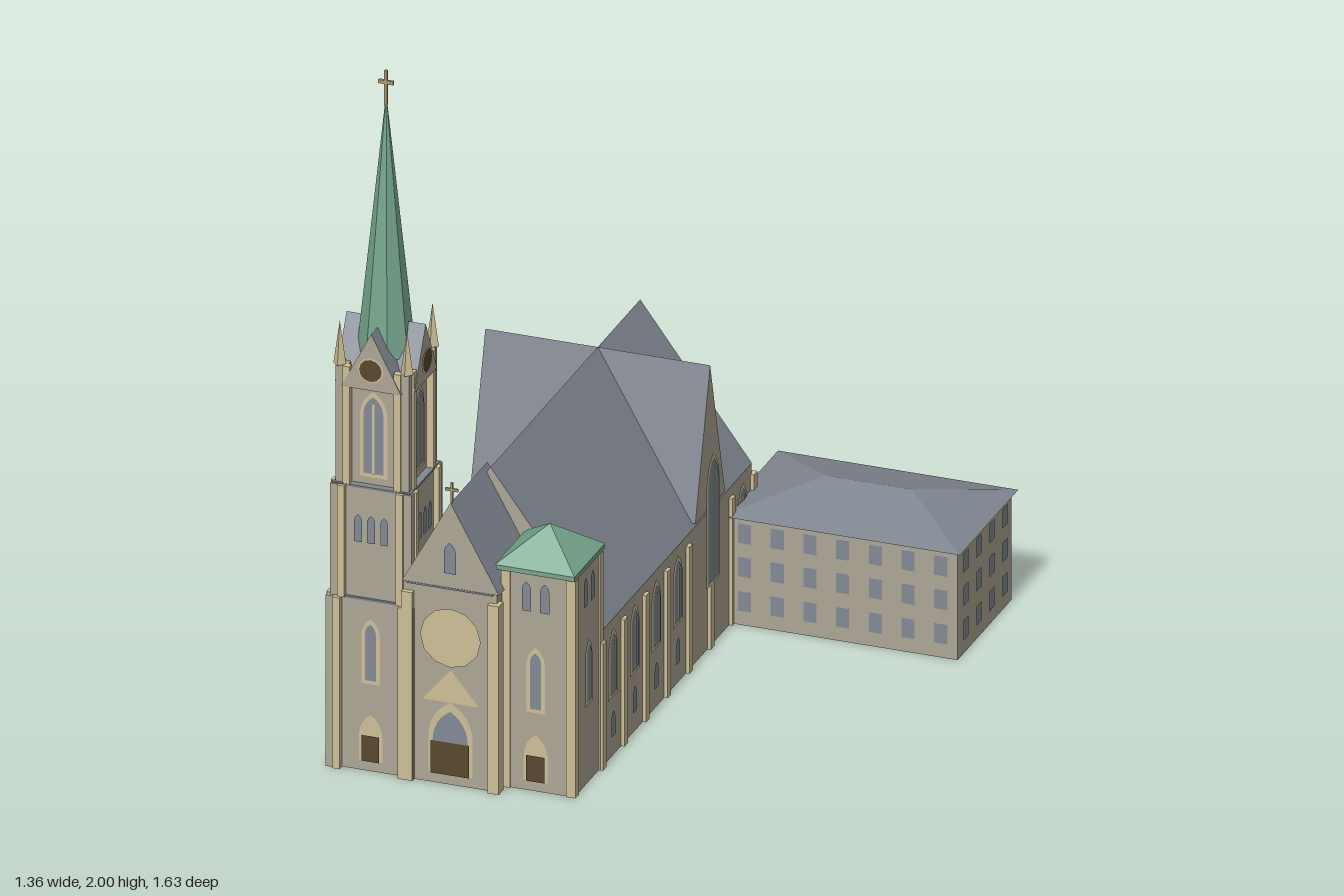
import * as THREE from 'three';

const mat = (name, color, side = THREE.FrontSide) => {
  const m = new THREE.MeshStandardMaterial({ color, side, flatShading: true });
  m.name = name;
  return m;
};

export function createModel() {
  const stone = mat('stone', 0xaea796, THREE.DoubleSide);
  const trim = mat('cream trim', 0xcfc098);
  const slate = mat('slate', 0x808690, THREE.DoubleSide);
  const copper = mat('green copper', 0x76a68c);
  const glass = mat('window glass', 0x828a96);
  const wood = mat('dark wood', 0x58482f);
  const metal = mat('cross metal', 0xa59870);

  const root = new THREE.Group();
  root.name = 'church';
  const group = (name, parent = root) => {
    const g = new THREE.Group();
    g.name = name;
    parent.add(g);
    return g;
  };
  const add = (parent, name, geo, material, x = 0, y = 0, z = 0, ry = 0) => {
    const m = new THREE.Mesh(geo, material);
    m.name = name;
    m.position.set(x, y, z);
    m.rotation.y = ry;
    parent.add(m);
    return m;
  };
  // Box given by its extents
  const block = (parent, name, material, x0, x1, y0, y1, z0, z1) =>
    add(parent, name, new THREE.BoxGeometry(x1 - x0, y1 - y0, z1 - z0), material,
      (x0 + x1) / 2, (y0 + y1) / 2, (z0 + z1) / 2);
  // Four stone walls without floor or ceiling
  const walls = (parent, name, ...extents) => {
    const m = block(parent, name, stone, ...extents);
    const idx = Array.from(m.geometry.index.array);
    idx.splice(12, 12);
    m.geometry.setIndex(idx);
    m.geometry.clearGroups();
  };

  // Flat shapes used on walls
  const polygon = (pts) => new THREE.Shape(pts.map(([x, y]) => new THREE.Vector2(x, y)));
  const rect = (w, h) => polygon([[-w / 2, 0], [w / 2, 0], [w / 2, h], [-w / 2, h]]);
  const lancet = (w, h) => {
    const s = new THREE.Shape(), a = Math.min(w, h * 0.5), r = w / 2;
    s.moveTo(-r, 0);
    s.lineTo(r, 0);
    s.lineTo(r, h - a);
    s.quadraticCurveTo(r, h - a * 0.33, 0, h);
    s.quadraticCurveTo(-r, h - a * 0.33, -r, h - a);
    return s;
  };
  const plate = (parent, name, shape, material, out, x = 0, y = 0) =>
    add(parent, name, new THREE.ShapeGeometry(shape, 6), material, x, y, out);

  // Local wall frame: z points out of the wall
  const onWall = (parent, name, x, y, z, ry) => {
    const g = group(name, parent);
    g.position.set(x, y, z);
    g.rotation.y = ry;
    return g;
  };
  const framedWindow = (parent, x, y, z, ry, w, h, lights = 2) => {
    const g = onWall(parent, 'framedWindow', x, y, z, ry);
    plate(g, 'windowFrame', lancet(w, h), trim, 0.003);
    plate(g, 'windowPane', lancet(w - 0.021, h - 0.026), glass, 0.005, 0, 0.011);
    if (lights > 1) plate(g, 'mullion', rect(0.007, h - 0.045), trim, 0.007, 0, 0.011);
  };
  const plainWindows = (parent, x, y, z, ry, w, h, offsets) => {
    const g = onWall(parent, 'smallWindows', x, y, z, ry);
    for (const o of offsets) plate(g, 'lancetPane', lancet(w, h), glass, 0.004, o);
  };
  const doorway = (parent, x, z, w, h, doorH) => {
    const g = onWall(parent, 'doorway', x, 0.03, z, 0);
    plate(g, 'doorFrame', lancet(w, h), trim, 0.003);
    plate(g, 'door', rect(w - 0.016, doorH), wood, 0.007);
    return g;
  };
  // Gabled roof: stone ends, slate slopes; ridge runs along z, or x when turned
  const gableRoof = (parent, name, w, h, len, x, y, z, ry = 0) => {
    const geo = new THREE.ExtrudeGeometry(polygon([[-w / 2, 0], [w / 2, 0], [0, h]]), { depth: len, bevelEnabled: false });
    geo.translate(0, 0, -len / 2);
    return add(parent, name, geo, [stone, slate], x, y, z, ry);
  };
  const hipRoof = (parent, name, material, w, h, d, ridge, x, y, z) => {
    const geo = new THREE.BoxGeometry(w, h, d);
    const p = geo.attributes.position;
    for (let i = 0; i < p.count; i++) {
      if (p.getY(i) > 0) p.setXYZ(i, Math.sign(p.getX(i)) * ridge / 2, h / 2, 0);
    }
    return add(parent, name, geo, material, x, y + h / 2, z);
  };
  const cross = (parent, x, y, z, h, w, t) => {
    const g = onWall(parent, 'cross', x, y, z, 0);
    add(g, 'crossPost', new THREE.BoxGeometry(t, h, t), metal, 0, h / 2, 0);
    add(g, 'crossBar', new THREE.BoxGeometry(w, t * 1.3, t), metal, 0, h * 0.66, 0);
  };

  // Nave with crossing roof
  const nave = group('nave');
  const L = -0.61, R = 0.02, mid = -0.295;
  walls(nave, 'naveWalls', L, R, 0, 0.4, -0.555, 0.555);
  gableRoof(nave, 'naveRoof', 0.632, 0.425, 1.11, mid, 0.4, 0);
  gableRoof(nave, 'transeptRoof', 0.22, 0.415, 0.636, mid, 0.41, -0.24, Math.PI / 2);
  for (const s of [1, -1]) {
    const x = s > 0 ? R : L, ry = s * Math.PI / 2;
    for (let i = 0; i < 8; i++) {
      add(nave, 'naveButtress', new THREE.BoxGeometry(0.02, 0.37, 0.026), trim, x, 0.185, 0.56 - i * 0.16);
    }
    for (const z of [0.48, 0.32, 0.16, 0, -0.48]) {
      framedWindow(nave, x, 0.175, z, ry, 0.072, 0.2);
      plainWindows(nave, x, 0.06, z, ry, 0.028, 0.075, [0]);
    }
    framedWindow(nave, x + s * 0.008, 0.19, -0.24, ry, 0.095, 0.38);
  }

  // Five-sided apse
  const apse = group('apse');
  apse.position.set(-0.303, 0, -0.555);
  add(apse, 'apseWall', new THREE.CylinderGeometry(0.17, 0.17, 0.41, 5, 1, true, Math.PI / 2, Math.PI), stone, 0, 0.205, 0);
  const cone = new THREE.ConeGeometry(0.172, 0.28, 5, 1, true, Math.PI / 2, Math.PI);
  const cp = cone.attributes.position;
  for (let i = 0; i < cp.count; i++) if (cp.getY(i) > 0.1) cp.setZ(i, -0.02);
  add(apse, 'apseRoof', cone, slate, 0, 0.55, 0);
  for (let i = 0; i < 5; i++) {
    const a = Math.PI / 2 + (i + 0.5) * Math.PI / 5;
    framedWindow(apse, 0.1617 * Math.sin(a), 0.14, 0.1617 * Math.cos(a), a, 0.06, 0.23);
  }

  // Side annex
  const annex = group('sideAnnex');
  walls(annex, 'annexWalls', -0.675, -0.6, 0, 0.18, -0.425, -0.115);
  gableRoof(annex, 'annexRoof', 0.092, 0.06, 0.32, -0.634, 0.18, -0.27);

  // Central front with portal
  const front = group('centralFront');
  const fx = -0.315, fz = 0.797;
  walls(front, 'frontWalls', -0.455, -0.185, 0, 0.58, 0.54, fz);
  gableRoof(front, 'frontGable', 0.275, 0.248, 0.275, fx, 0.577, 0.663);
  block(front, 'frontCornice', slate, -0.44, -0.195, 0.572, 0.577, fz, fz + 0.005);
  for (const x of [-0.435, -0.19]) block(front, 'frontButtress', trim, x - 0.016, x + 0.016, 0, 0.55, fz - 0.02, 0.812);
  plate(onWall(front, 'roseWindow', fx, 0.43, fz, 0), 'roseDisc', new THREE.Shape().absarc(0, 0, 0.086, 0, Math.PI * 2), trim, 0.004);
  plate(onWall(front, 'portalGable', fx, 0.24, fz, 0), 'portalTriangle', polygon([[-0.08, 0], [0.08, 0], [0, 0.095]]), trim, 0.002);
  const portal = doorway(front, fx, fz, 0.125, 0.21, 0.095);
  plate(portal, 'portalGlass', lancet(0.1, 0.185), glass, 0.005);
  plainWindows(front, fx, 0.62, 0.801, 0, 0.034, 0.09, [0]);
  cross(front, fx, 0.82, 0.79, 0.06, 0.036, 0.006);

  // Short tower with copper cap
  const low = group('shortTower');
  const lz = 0.655;
  walls(low, 'shortTowerWalls', -0.19, 0.018, 0, 0.635, 0.555, 0.755);
  block(low, 'copperEave', copper, -0.2, 0.023, 0.635, 0.65, 0.543, 0.765);
  hipRoof(low, 'copperCap', copper, 0.226, 0.09, 0.226, 0, -0.089, 0.65, lz);
  for (const x of [-0.175, 0.01]) {
    for (const z of [0.563, 0.747]) block(low, 'cornerStrip', trim, x - 0.013, x + 0.013, 0, 0.632, z - 0.013, z + 0.013);
  }
  doorway(low, -0.09, 0.755, 0.068, 0.135, 0.075);
  for (const [x, z, ry] of [[-0.09, 0.755, 0], [0.018, lz, Math.PI / 2]]) {
    framedWindow(low, x, 0.23, z, ry, 0.052, 0.19, 1);
    plainWindows(low, x, 0.525, z, ry, 0.026, 0.085, [-0.026, 0.026]);
  }

  // Tall tower and spire, built around its own axis
  const tall = group('tallTower');
  tall.position.set(-0.542, 0, 0.682);
  walls(tall, 'lowerStage', -0.112, 0.112, 0, 0.5, -0.112, 0.112);
  walls(tall, 'middleStage', -0.106, 0.106, 0.5, 0.825, -0.108, 0.108);
  walls(tall, 'belfryStage', -0.09, 0.09, 0.825, 1.115, -0.09, 0.09);
  for (const [y, r] of [[0.497, 0.115], [0.822, 0.111], [1.108, 0.093]]) block(tall, 'stringCourse', slate, -r, r, y, y + 0.006, -r, r);
  for (const sx of [1, -1]) for (const sz of [1, -1]) {
    // Stepped corner buttresses, two per corner
    for (const [y0, y1, r] of [[0, 0.5, 0.12], [0.5, 0.825, 0.111], [0.825, 1.17, 0.1]]) {
      for (const [a, b] of [[r, r - 0.028], [r - 0.028, r]]) {
        add(tall, 'cornerButtress', new THREE.BoxGeometry(0.02, y1 - y0, 0.02), trim, sx * a, (y0 + y1) / 2, sz * b);
      }
      add(tall, 'cornerPier', new THREE.BoxGeometry(0.032, y1 - y0, 0.032), stone, sx * (r - 0.012), (y0 + y1) / 2, sz * (r - 0.012));
    }
    add(tall, 'pinnacle', new THREE.ConeGeometry(0.018, 0.125, 4), trim, sx * 0.095, 1.232, sz * 0.095);
  }
  for (const ry of [0, Math.PI / 2]) gableRoof(tall, 'towerGable', 0.17, 0.165, 0.224, 0, 1.112, 0, ry);
  for (let i = 0; i < 4; i++) {
    const ry = i * Math.PI / 2, sx = Math.sin(ry), cz = Math.cos(ry);
    framedWindow(tall, 0.09 * sx, 0.85, 0.09 * cz, ry, 0.078, 0.25);
    const clock = onWall(tall, 'clock', 0.112 * sx, 1.172, 0.112 * cz, ry);
    plate(clock, 'clockRim', new THREE.Shape().absarc(0, 0, 0.036, 0, Math.PI * 2), trim, 0.003);
    plate(clock, 'clockFace', new THREE.Shape().absarc(0, 0, 0.032, 0, Math.PI * 2), wood, 0.005);
    if (i !== 2) plainWindows(tall, 0.106 * sx, 0.665, 0.108 * cz, ry, 0.022, 0.08, [-0.037, 0, 0.037]);
    if (i === 0 || i === 3) framedWindow(tall, 0.112 * sx, 0.255, 0.112 * cz, ry, 0.052, 0.19, 1);
  }
  doorway(tall, 0, 0.112, 0.066, 0.135, 0.075);
  add(tall, 'spire', new THREE.CylinderGeometry(0.002, 0.078, 0.73, 8, 1, false, Math.PI / 8), copper, 0, 1.55, 0);
  cross(tall, 0, 1.9, 0, 0.1, 0.042, 0.008);

  // Neighbouring house with hipped roof
  const house = group('parishHouse');
  walls(house, 'houseWalls', 0.025, 0.662, 0, 0.318, -0.8, -0.4);
  hipRoof(house, 'houseRoof', slate, 0.68, 0.06, 0.434, 0.245, 0.335, 0.316, -0.6);
  for (const y of [0.042, 0.142, 0.24]) {
    for (const s of [1, -1]) {
      const long = onWall(house, 'houseWindows', 0.338, y, -0.6 + s * 0.2, s > 0 ? 0 : Math.PI);
      for (let i = -3; i <= 3; i++) plate(long, 'houseWindow', rect(0.037, 0.057), glass, 0.003, i * 0.0925);
      const end = onWall(house, 'houseWindows', s > 0 ? 0.662 : 0.025, y, -0.6, s * Math.PI / 2);
      for (let i = -1.5; i <= 1.5; i++) plate(end, 'houseWindow', rect(0.037, 0.057), glass, 0.003, i * 0.097);
    }
  }
  return root;
}
